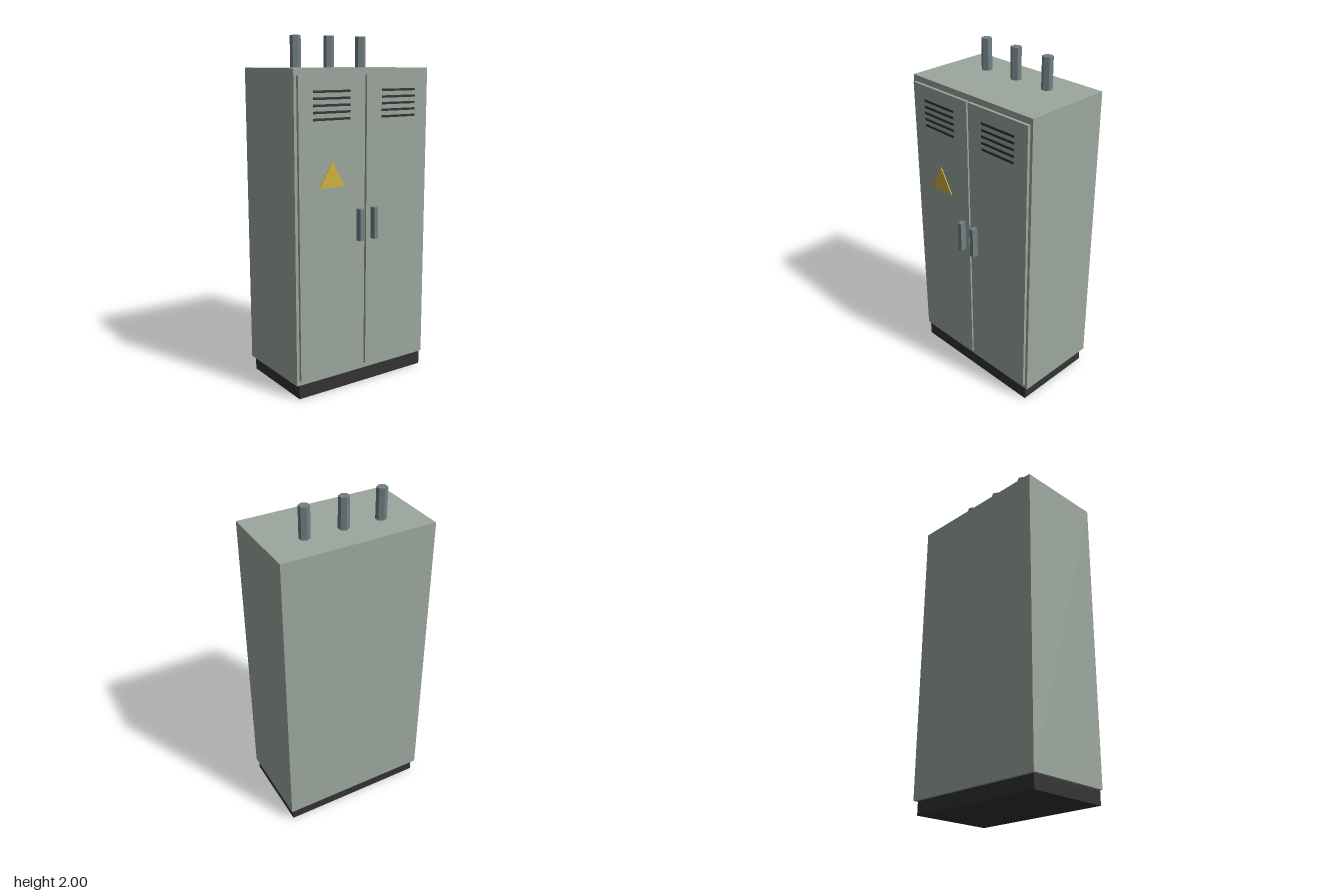
import * as THREE from 'three';

const paint = (color) => new THREE.MeshStandardMaterial({ color, flatShading: true });

export function createModel() {
  const group = new THREE.Group();
  const shell = paint(0x9ca79e), dark = paint(0x333333), steel = paint(0x738083), yellow = paint(0xcfb13c);

  const add = (name, geometry, material) => {
    const mesh = new THREE.Mesh(geometry, material);
    mesh.name = name;
    group.add(mesh);
    return mesh;
  };

  // Box given by its lower and upper limits on each axis
  const box = (name, material, [x0, x1], [y0, y1], [z0, z1]) =>
    add(name, new THREE.BoxGeometry(x1 - x0, y1 - y0, z1 - z0), material)
      .position.set((x0 + x1) / 2, (y0 + y1) / 2, (z0 + z1) / 2);

  // Plinth and cabinet
  box('plinth', dark, [-0.437, 0.437], [0, 0.08], [-0.272, 0.236]);
  box('cabinet', shell, [-0.453, 0.453], [0.08, 1.82], [-0.291, 0.236]);

  // Doors with handles and ventilation slots
  for (const [side, s] of [['left', 1], ['right', -1]]) {
    const span = (a, b) => (s > 0 ? [a, b] : [-b, -a]);
    box(side + 'Door', shell, span(0.006, 0.436), [0.111, 1.785], [0.236, 0.253]);
    box(side + 'Handle', steel, span(0.037, 0.062), [0.868, 1.049], [0.253, 0.29]);
    for (let i = 0; i < 5; i++) {
      const y = 1.7 - i * 0.0365;
      box(side + 'VentSlot' + (i + 1), dark, span(0.109, 0.345), [y - 0.0065, y + 0.0065], [0.25, 0.257]);
    }
  }

  // Triangular warning plate on the right door
  const plate = new THREE.CylinderGeometry(0.096, 0.096, 0.008, 3, 1, false, Math.PI);
  plate.rotateX(Math.PI / 2);
  add('warningPlate', plate, yellow).position.set(-0.228, 1.233, 0.2545);

  // Hexagonal cable conduits on the roof
  for (const i of [-1, 0, 1]) {
    add('conduit' + (i + 2), new THREE.CylinderGeometry(0.031, 0.031, 0.18, 6), steel)
      .position.set(i * 0.227, 1.91, -0.11);
  }

  return group;
}
